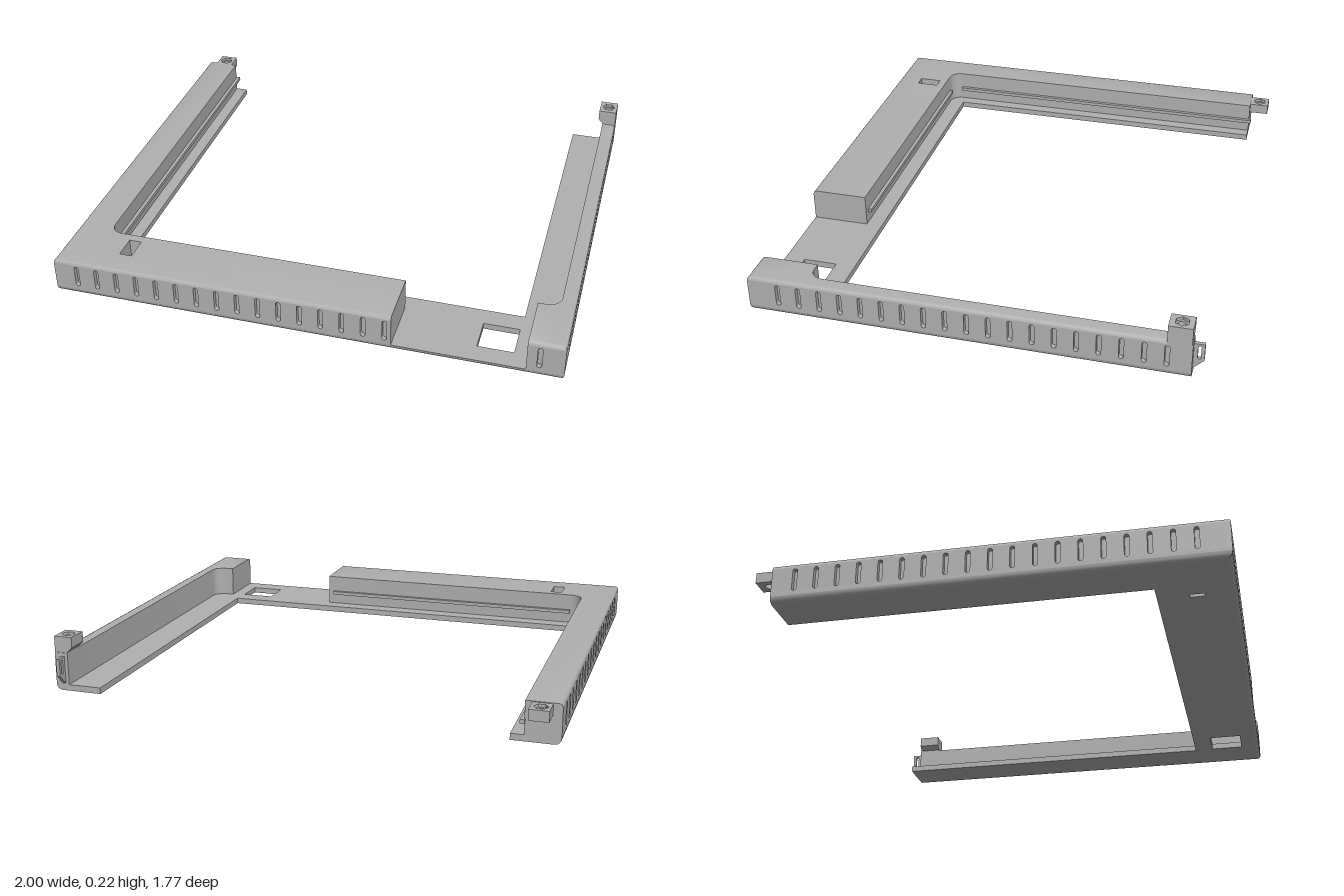
import * as THREE from 'three';
import { toCreasedNormals } from 'three/addons/utils/BufferGeometryUtils.js';

const H = 0.155, BASE = 0.025, BACK = -0.81, FRONT = 0.885;
const DEPTH = 0.02, LOW = 0.035, HIGH = 0.14, STEP = 0.0825;

// Plan outline [x, z, ox, oz] lofted through levels [y, inset]; the inset moves
// a point against its outward direction (ox, oz). Holes run straight through.
function loft(outline, levels, holes = []) {
  const orient = (pts, positive) => {
    const area = THREE.ShapeUtils.area(pts.map(([x, y]) => ({ x, y })));
    return (area > 0) === positive ? pts : [...pts].reverse();
  };
  const loops = [orient(outline, true), ...holes.map((h) => orient(h, false))];
  const at = ([x, z, ox = 0, oz = 0], [y, d]) => [x - ox * d, y, z - oz * d];
  const pos = [];
  for (const loop of loops) {
    for (let k = 0; k < levels.length - 1; k++) {
      loop.forEach((p, i) => {
        const q = loop[(i + 1) % loop.length];
        const a = at(p, levels[k]), b = at(q, levels[k]);
        const c = at(q, levels[k + 1]), d = at(p, levels[k + 1]);
        pos.push(...a, ...c, ...b, ...a, ...d, ...c);
      });
    }
  }
  for (const [level, up] of [[levels[0], false], [levels[levels.length - 1], true]]) {
    const rings = loops.map((l) => l.map((p) => at(p, level)));
    const flat = rings.map((r) => r.map((p) => new THREE.Vector2(p[0], p[2])));
    const all = rings.flat();
    for (const [a, b, c] of THREE.ShapeUtils.triangulateShape(flat[0], flat.slice(1))) {
      pos.push(...all[a], ...all[up ? c : b], ...all[up ? b : c]);
    }
  }
  const g = new THREE.BufferGeometry();
  g.setAttribute('position', new THREE.Float32BufferAttribute(pos, 3));
  return toCreasedNormals(g, 0.6);
}

const rect = (x0, x1, z0, z1) => [[x0, z0], [x1, z0], [x1, z1], [x0, z1]];

const ngon = (cx, cz, r, n) => Array.from({ length: n }, (_, i) => {
  const a = (i / n) * Math.PI * 2;
  return [cx + r * Math.cos(a), cz + r * Math.sin(a)];
});

// Concave quarter fillet between the side wall (x) and the front wall (z)
const fillet = (x, z, r, side) => Array.from({ length: 7 }, (_, i) => {
  const a = (i / 6) * Math.PI / 2;
  return [x - side * r * (1 - Math.cos(a)), z - r + r * Math.sin(a)];
});

// Flat wall skin with rounded vent slots, u along the wall
function slottedPanel(u0, u1, slots) {
  const shape = new THREE.Shape();
  shape.moveTo(u0, LOW).lineTo(u1, LOW).lineTo(u1, HIGH).lineTo(u0, HIGH);
  const r = 0.009;
  for (const u of slots) {
    const hole = new THREE.Path();
    hole.absarc(u, 0.124, r, 0, Math.PI, false);
    hole.absarc(u, 0.052, r, Math.PI, Math.PI * 2, false);
    shape.holes.push(hole);
  }
  return new THREE.ExtrudeGeometry(shape, { depth: DEPTH, bevelEnabled: false, curveSegments: 6 });
}

export function createModel() {
  const model = new THREE.Group();
  model.name = 'slottedFrame';
  const grey = new THREE.MeshStandardMaterial({ color: 0xb0b0b0 });
  grey.name = 'grey plastic';
  const add = (name, geometry) => {
    const mesh = new THREE.Mesh(geometry, grey);
    mesh.name = name;
    model.add(mesh);
    return mesh;
  };
  const box = (name, x0, x1, y0, y1, z0, z1) =>
    add(name, new THREE.BoxGeometry(x1 - x0, y1 - y0, z1 - z0))
      .position.set((x0 + x1) / 2, (y0 + y1) / 2, (z0 + z1) / 2);

  // U-shaped base plate with rounded lower outer edge
  add('basePlate', loft([
    [-1, BACK, -1, 0], [-1, FRONT, -1, 1], [1, FRONT, 1, 1], [1, BACK, 1, 0],
    [0.81, BACK], [0.81, 0.59], [-0.815, 0.59], [-0.815, BACK],
  ], [[0, 0.025], [0.003, 0.014], [0.008, 0.007], [0.015, 0.002], [BASE, 0]],
  [rect(0.665, 0.805, 0.67, 0.805), rect(-0.75, -0.73, 0.71, 0.765)]));

  // Raised bodies, recessed behind the slotted skins
  const bodyLevels = [[BASE, 0], [LOW, 0], [LOW, DEPTH], [HIGH, DEPTH], [HIGH, 0],
    [0.147, 0.002], [0.152, 0.006], [H, 0.013]];
  add('leftBodyAndFront', loft([
    [-1, BACK, -1, 0], [-1, FRONT, -1, 1], [0.355, FRONT, 0, 1], [0.355, 0.655],
    ...fillet(-0.865, 0.655, 0.05, -1).reverse(), [-0.865, BACK],
  ], bodyLevels, [rect(-0.765, -0.715, 0.69, 0.785)]));
  add('sideWallAndCorner', loft([
    [1, BACK, 1, 0], [1, FRONT, 1, 1], [0.86, FRONT, 0, 1], [0.86, 0.655],
    ...fillet(0.945, 0.655, 0.05, 1).reverse(), [0.945, BACK],
  ], bodyLevels));

  // Slotted outer skins
  const frontSlots = Array.from({ length: 16 }, (_, i) => (i - 11) * STEP);
  add('frontSkin', slottedPanel(-1, 0.355, frontSlots)).position.z = FRONT - DEPTH;
  add('cornerSkin', slottedPanel(0.86, 1, [11 * STEP])).position.z = FRONT - DEPTH;
  const sideSlots = Array.from({ length: 19 }, (_, i) => 0.765 - i * STEP);
  for (const side of [-1, 1]) {
    const u = (z) => -side * z;
    const ends = [u(BACK), u(FRONT - DEPTH)].sort((a, b) => a - b);
    const skin = add(side < 0 ? 'rightSkin' : 'leftSkin', slottedPanel(...ends, sideSlots.map(u)));
    skin.rotation.y = side * Math.PI / 2;
    skin.position.x = side * (1 - DEPTH);
  }

  // Guide rails on the inner walls
  box('sideRail', -0.868, -0.85, 0.07, 0.085, -0.82, 0.605);
  box('frontRail', -0.81, 0.33, 0.07, 0.085, 0.64, 0.658);

  // Screw tab behind the long arm: round hole below a hexagonal nut pocket
  const tab = rect(-0.965, -0.89, -0.89, BACK);
  const hex = (x, z) => ngon(x, z, 0.027, 6);
  const bore = (x, z) => ngon(x, z, 0.016, 20);
  add('rearTabLower', loft(tab, [[0.11, 0], [0.14, 0]], [bore(-0.928, -0.85)]));
  add('rearTabUpper', loft(tab, [[0.14, 0], [0.152, 0]], [hex(-0.928, -0.85)]));

  // Raised screw post on the thin wall, flaring inward
  const post = [[0.925, -0.807, -1, 0], [1, -0.807], [1, -0.717], [0.925, -0.717, -1, 0]];
  add('postFoot', loft(post, [[0.13, 0.02], [0.158, 0.02], [0.178, 0], [0.185, 0]]));
  add('postBore', loft(post, [[0.185, 0], [0.208, 0]], [bore(0.962, -0.762)]));
  add('postTop', loft(post, [[0.208, 0], [0.22, 0]], [hex(0.962, -0.762)]));

  // Thin slotted fin at the end of the thin wall
  const fin = new THREE.Shape();
  fin.moveTo(0.8, 0.02).lineTo(0.85, 0.07).lineTo(0.85, 0.14).lineTo(0.8, 0.14);
  const slot = new THREE.Path();
  slot.moveTo(0.825, 0.075).lineTo(0.825, 0.13).lineTo(0.837, 0.13).lineTo(0.837, 0.075);
  fin.holes.push(slot);
  const finMesh = add('endFin', new THREE.ExtrudeGeometry(fin, { depth: 0.014, bevelEnabled: false }));
  finMesh.rotation.y = Math.PI / 2;
  finMesh.position.x = 0.959;

  return model;
}
